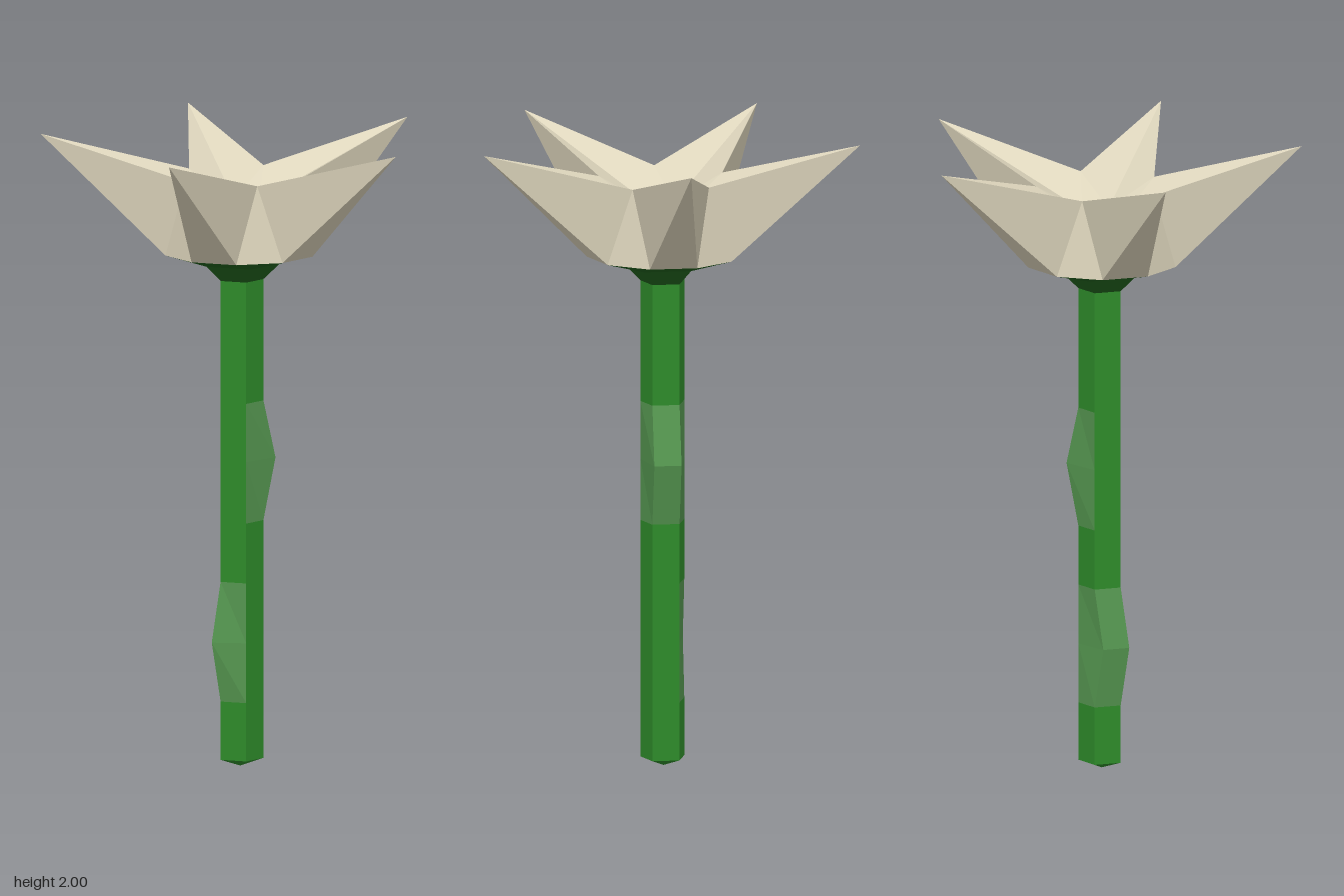
import * as THREE from 'three';

const AXIS_X = -0.06; // the stem stands slightly off centre

const mat = (color) => new THREE.MeshStandardMaterial({ color, flatShading: true });

// point at a radius, angle in degrees (0 = +x, 90 = +z) and height
const pt = (r, deg, y, dx = 0) => {
  const a = THREE.MathUtils.degToRad(deg);
  return [AXIS_X + r * Math.cos(a) + dx, y, r * Math.sin(a)];
};

// corners: lower, lower next, upper next, upper -> two outward triangles
const side = (a, b, c, d) => [a, d, c, a, c, b];

function facets(name, points, material) {
  const g = new THREE.BufferGeometry();
  g.setAttribute('position', new THREE.Float32BufferAttribute(points.flat(), 3));
  g.computeVertexNormals();
  const mesh = new THREE.Mesh(g, material);
  mesh.name = name;
  return mesh;
}

export function createModel() {
  const model = new THREE.Group();
  model.name = 'flower';
  const stemMat = mat(0x2e8b2a);
  const knotMat = mat(0x559650);
  const calyxMat = mat(0x1f5f1c);
  const petalMat = mat(0xddd5bc);
  const yellowMat = mat(0xd8d03c);

  // five-sided stem with two knots pushed out of its sides
  const levels = [0.025, 0.21, 0.4, 0.59, 0.78, 0.975, 1.16, 1.545];
  const push = (i, level) => {
    if (level === 5 && (i === 0 || i === 4)) return 0.045;
    if (level === 2 && (i === 2 || i === 3)) return -0.033;
    return 0;
  };
  const stemPt = (i, level) => pt(0.073, 36 + 72 * (i % 5), levels[level], push(i % 5, level));
  const stem = [], lowerKnot = [], upperKnot = [];
  for (let i = 0; i < 5; i++) {
    for (let l = 0; l < levels.length - 1; l++) {
      let target = stem;
      if ((l === 1 || l === 2) && i >= 1 && i <= 3) target = lowerKnot;
      if ((l === 4 || l === 5) && (i === 0 || i >= 3)) target = upperKnot;
      target.push(...side(stemPt(i, l), stemPt(i + 1, l), stemPt(i + 1, l + 1), stemPt(i, l + 1)));
    }
    stem.push([AXIS_X, 0, 0], stemPt(i, 0), stemPt(i + 1, 0)); // pointed foot
  }
  model.add(facets('stem', stem, stemMat));
  model.add(facets('lowerKnot', lowerKnot, knotMat));
  model.add(facets('upperKnot', upperKnot, knotMat));

  // calyx: flares from the stem through a pentagon to a ten-sided rim
  const calyx = [];
  const rim = (deg) => pt(0.242, deg, 1.63);
  const mid = (deg) => pt(0.125, deg, 1.595);
  const neck = (deg) => pt(0.073, deg, 1.545);
  for (let k = 0; k < 5; k++) {
    const t = 36 + 72 * k;
    calyx.push(...side(neck(t), neck(t + 72), mid(t + 72), mid(t)));
    calyx.push(mid(t), rim(t - 18), rim(t + 18));
    calyx.push(...side(mid(t), mid(t + 72), rim(t + 54), rim(t + 18)));
  }
  model.add(facets('calyx', calyx, calyxMat));

  // petals: outer and inner faces, joined at valleys between the tips
  const heart = (deg) => pt(0.073, deg, 1.785);
  const valley = (deg) => pt(0.205, deg, 1.873);
  const petals = new THREE.Group();
  petals.name = 'petals';
  for (let k = 0; k < 5; k++) {
    const t = 72 * k;
    const tip = pt(0.625, t, 2);
    const left = rim(t - 18), right = rim(t + 18);
    const vl = valley(t - 36), vr = valley(t + 36);
    petals.add(facets('petal' + (k + 1), [
      left, tip, right,
      right, tip, vr,
      left, vl, tip,
      right, vr, rim(t + 54),
      heart(t), vr, tip,
      heart(t), tip, vl,
      heart(t), heart(t + 72), vr,
    ], petalMat));
  }
  model.add(petals);

  // low yellow pyramid in the middle
  const centre = [];
  for (let k = 0; k < 5; k++) {
    centre.push([AXIS_X, 1.805, 0], heart(72 * k + 72), heart(72 * k));
  }
  model.add(facets('flowerCentre', centre, yellowMat));

  return model;
}
